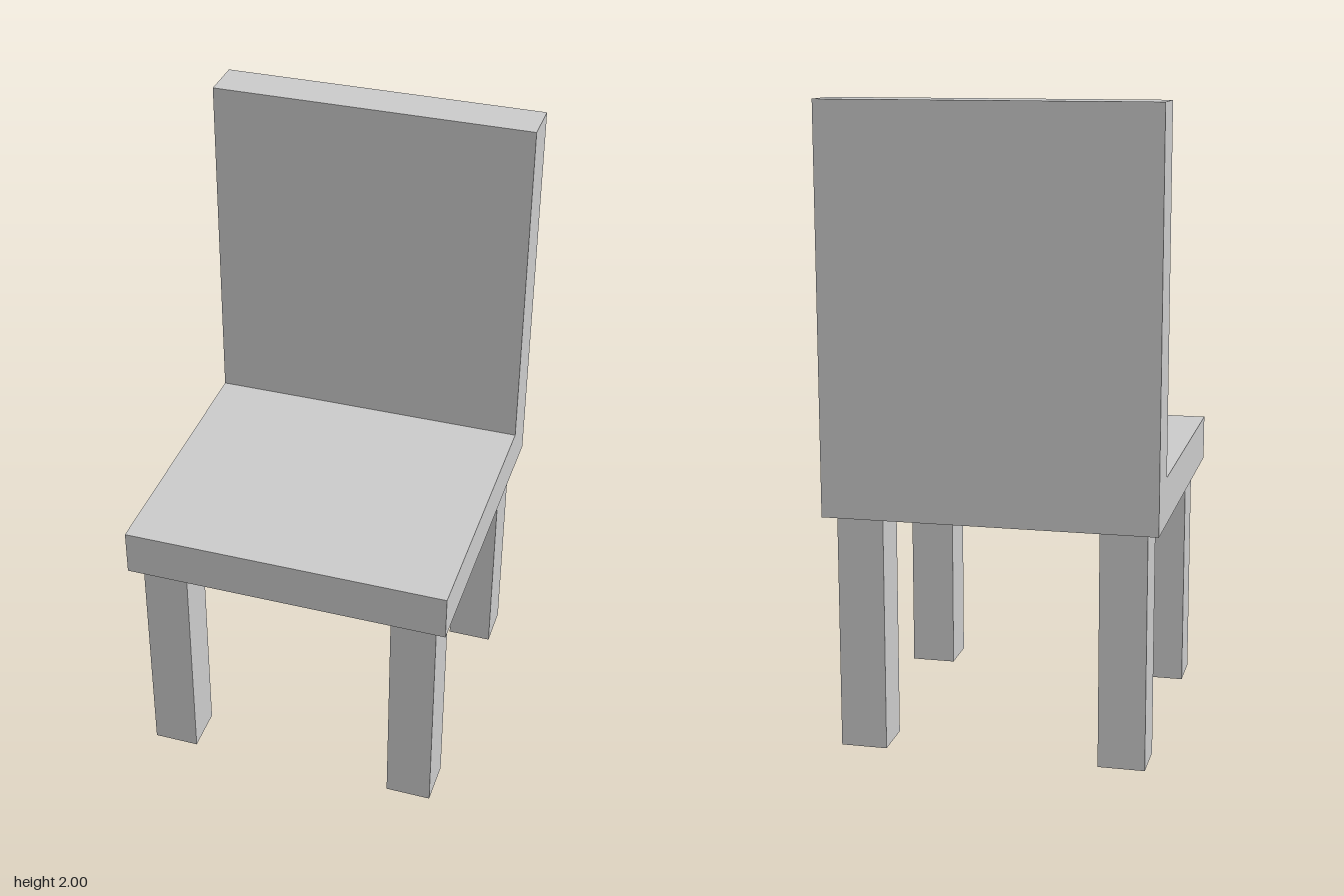
import * as THREE from 'three';

const HALF = 0.517;          // half width and half depth of the seat
const SEAT_BOTTOM = 0.745;
const SEAT_TOP = 0.89;
const BACK_FRONT = -0.372;   // z of the backrest's front face
const TOP = 2;
const LEG = 0.145;           // leg thickness
const LEG_POS = 0.407;       // leg centre offset in x and z

export function createModel() {
  const chair = new THREE.Group();
  chair.name = 'chair';
  const material = new THREE.MeshStandardMaterial({ color: 0xcccccc, flatShading: true });

  // Seat and backrest: one L-shaped side profile (z, y) extruded across the width
  const profile = new THREE.Shape([
    [-HALF, SEAT_BOTTOM], [HALF, SEAT_BOTTOM], [HALF, SEAT_TOP],
    [BACK_FRONT, SEAT_TOP], [BACK_FRONT, TOP], [-HALF, TOP],
  ].map(([z, y]) => new THREE.Vector2(z, y)));
  const bodyGeometry = new THREE.ExtrudeGeometry(profile, { depth: 2 * HALF, bevelEnabled: false });
  bodyGeometry.translate(0, 0, -HALF).rotateY(-Math.PI / 2);
  const body = new THREE.Mesh(bodyGeometry, material);
  body.name = 'seatAndBackrest';
  chair.add(body);

  // Four square legs, inset from the seat edges
  const legGeometry = new THREE.BoxGeometry(LEG, SEAT_BOTTOM, LEG);
  for (const [zName, z] of [['front', LEG_POS], ['back', -LEG_POS]]) {
    for (const [xName, x] of [['Left', LEG_POS], ['Right', -LEG_POS]]) {
      const leg = new THREE.Mesh(legGeometry, material);
      leg.name = `${zName}${xName}Leg`;
      leg.position.set(x, SEAT_BOTTOM / 2, z);
      chair.add(leg);
    }
  }

  return chair;
}
